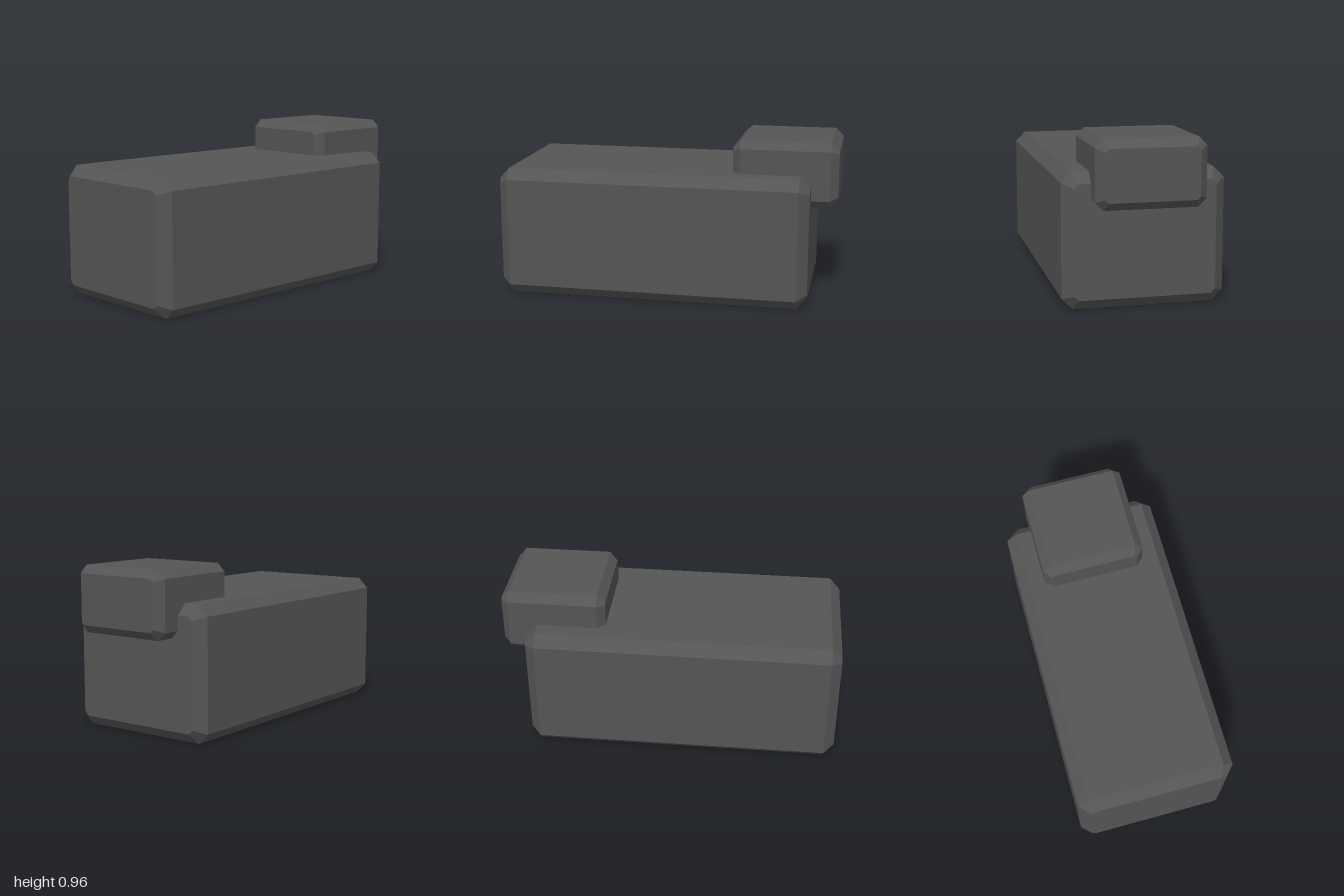
import * as THREE from 'three';

// Block with chamfered edges: an octagonal section extruded along z with a one-step bevel.
function chamferedBlock(name, material, [x0, x1], [y0, y1], [z0, z1], c) {
  const section = new THREE.Shape([
    [x0 + c, y0], [x1 - c, y0], [x1, y0 + c], [x1, y1 - c],
    [x1 - c, y1], [x0 + c, y1], [x0, y1 - c], [x0, y0 + c],
  ].map(([x, y]) => new THREE.Vector2(x, y)));
  const geometry = new THREE.ExtrudeGeometry(section, {
    depth: z1 - z0 - 2 * c,
    bevelEnabled: true,
    bevelThickness: c,
    bevelSize: c,
    bevelOffset: -c,
    bevelSegments: 1,
  });
  geometry.translate(0, 0, z0 + c);
  const mesh = new THREE.Mesh(geometry, material);
  mesh.name = name;
  return mesh;
}

export function createModel() {
  const darkGrey = new THREE.MeshStandardMaterial({ color: 0x555555 });
  darkGrey.name = 'darkGrey';

  const model = new THREE.Group();
  model.name = 'chamferedBlocks';
  model.add(
    // Long main body
    chamferedBlock('body', darkGrey, [-0.461, 0.461], [0, 0.769], [-0.846, 1], 0.061),
    // Small block sunk into the top rear edge
    chamferedBlock('rearBlock', darkGrey, [-0.307, 0.307], [0.579, 0.961], [-1, -0.385], 0.046),
  );
  return model;
}
